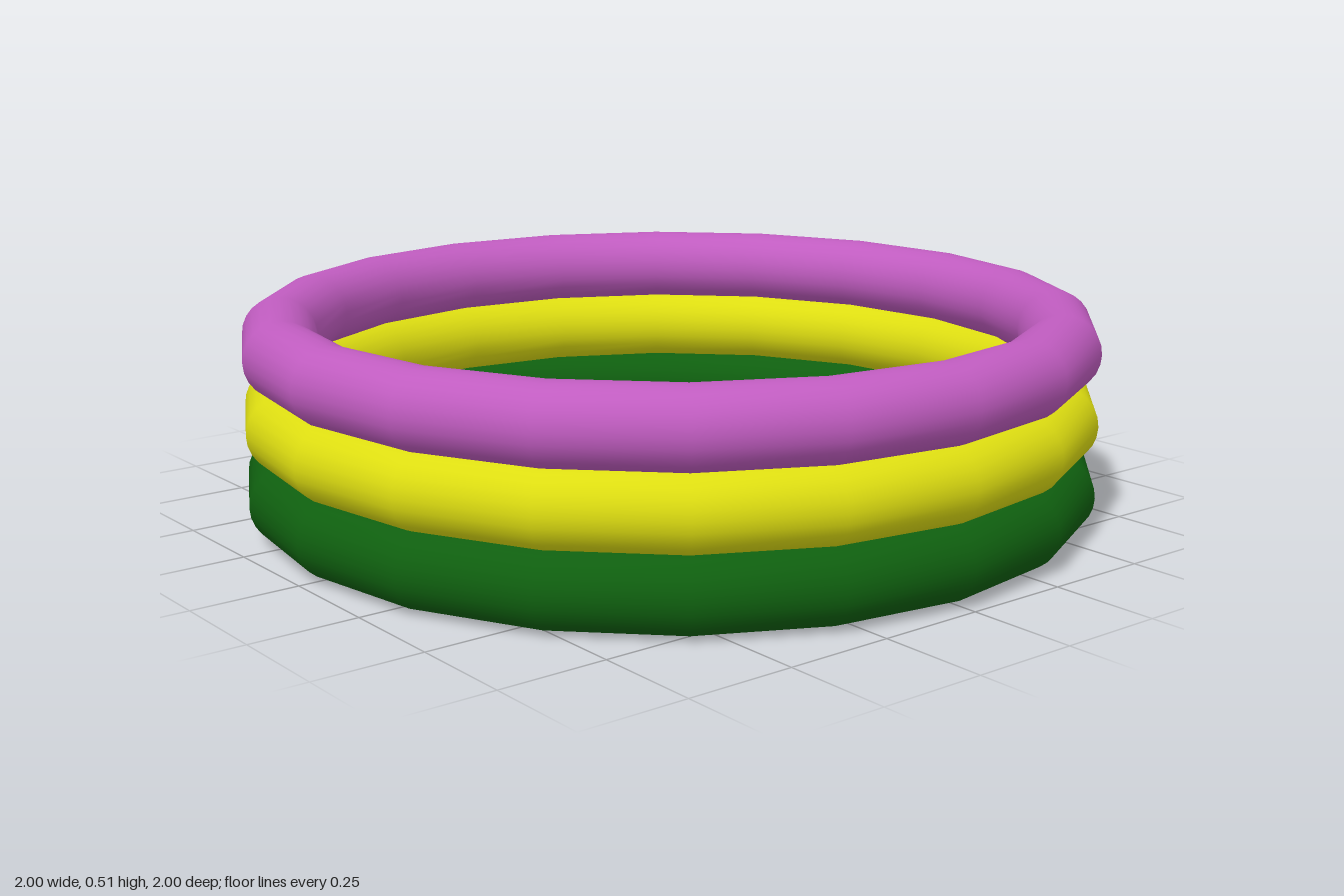
import * as THREE from 'three';

const TUBE = 0.088;
const RING = 1 - TUBE;
const SPACING = 0.166;

// One inflated ring: round tube swept around a 20-sided outline
function makeRing(name, color, y) {
  const geometry = new THREE.TorusGeometry(RING, TUBE, 24, 20).rotateX(-Math.PI / 2);
  const ring = new THREE.Mesh(geometry, new THREE.MeshStandardMaterial({ color }));
  ring.name = name;
  ring.position.y = y;
  return ring;
}

// Padded floor: a disc with rows of soft bumps, tucked into the bottom ring
function makeFloor() {
  const geometry = new THREE.RingGeometry(0.001, 0.89, 160, 44).rotateX(-Math.PI / 2);
  const p = geometry.attributes.position;
  const k = (2 * Math.PI) / 0.2;
  for (let i = 0; i < p.count; i++) {
    p.setY(i, 0.01 * (Math.cos(k * p.getX(i)) + Math.cos(k * p.getZ(i))));
  }
  geometry.computeVertexNormals();
  const floor = new THREE.Mesh(
    geometry,
    new THREE.MeshStandardMaterial({ color: 0x7fb5b5, side: THREE.DoubleSide })
  );
  floor.name = 'paddedFloor';
  floor.position.y = 0.075;
  return floor;
}

export function createModel() {
  const pool = new THREE.Group();
  pool.name = 'paddlingPool';
  const rings = [
    ['bottomRing', 0x0f5f0f],
    ['middleRing', 0xdddd11],
    ['topRing', 0xc05cc0],
  ];
  rings.forEach(([name, color], i) => pool.add(makeRing(name, color, TUBE + i * SPACING)));
  pool.add(makeFloor());
  return pool;
}
